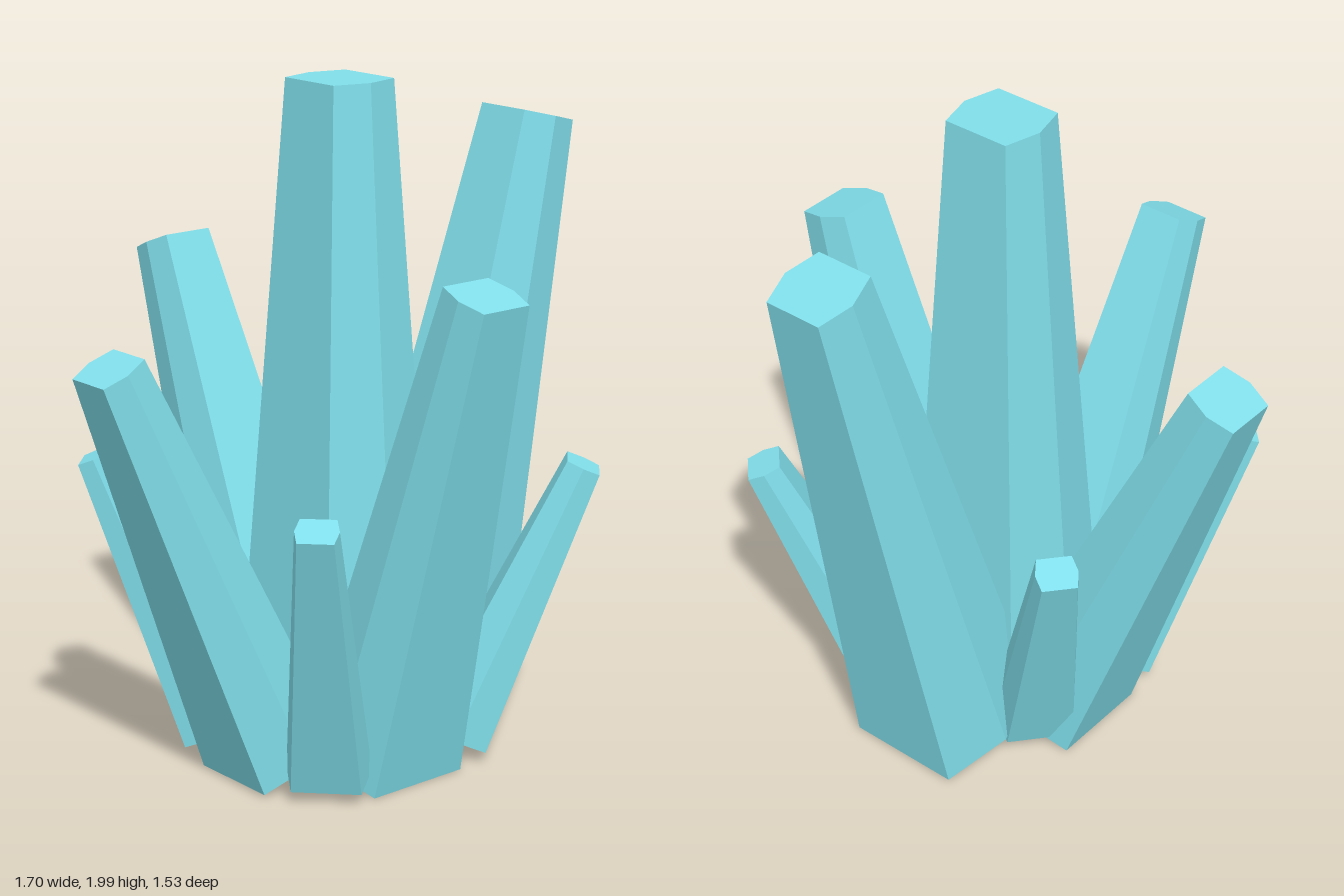
import * as THREE from 'three';

const material = new THREE.MeshStandardMaterial({ color: 0x80deea, flatShading: true });
const UP = new THREE.Vector3(0, 1, 0);
const TAPER = 2; // base is twice as wide as the tip

// Squarish six-sided section: flat sides face outwards, shallow ridges sit on the tangent sides.
// size = [half depth to the flats, half width of the flats, half width at the ridges] at the tip
function crystalGeometry(length, [flat, corner, ridge]) {
  const geometry = new THREE.CylinderGeometry(1, TAPER, length, 6).toNonIndexed();
  const p = geometry.attributes.position;
  for (let i = 0; i < p.count; i++) {
    const radius = p.getY(i) > 0 ? 1 : TAPER;
    const z = p.getZ(i);
    const onRidge = Math.abs(z) > 0.75 * radius;
    p.setX(i, (p.getX(i) / 0.866) * flat);
    p.setZ(i, onRidge ? z * ridge : (z / 0.5) * corner);
  }
  geometry.computeVertexNormals();
  return geometry;
}

// Crystal whose axis runs from the base centre to the tip centre
function crystal(name, base, tip, size) {
  const from = new THREE.Vector3(...base);
  const to = new THREE.Vector3(...tip);
  const axis = to.clone().sub(from);
  const length = axis.length();
  axis.normalize();

  // Upright crystals face +x, leaning ones face the way they lean
  const outward = new THREE.Vector3(axis.x, 0, axis.z);
  if (outward.length() < 0.01) outward.set(1, 0, 0);
  const tangent = outward.normalize().cross(UP);
  const facing = axis.clone().cross(tangent);

  const mesh = new THREE.Mesh(crystalGeometry(length, size), material);
  mesh.name = name;
  mesh.quaternion.setFromRotationMatrix(new THREE.Matrix4().makeBasis(facing, axis, tangent));
  mesh.position.copy(from).add(to).multiplyScalar(0.5);
  return mesh;
}

export function createModel() {
  const group = new THREE.Group();
  group.name = 'crystalCluster';
  const small = [0.05, 0.05, 0.061];

  const crystals = [
    // Tall upright centre
    ['centreCrystal', [0.02, 0.03, 0.085], [0.02, 2, 0.085], [0.11, 0.103, 0.131]],
    // Four large leaning crystals
    ['leftCrystal', [0.303, 0.065, 0.085], [0.75, 1.83, 0.085], [0.103, 0.089, 0.117]],
    ['rightCrystal', [-0.238, 0.075, 0.085], [-0.783, 1.304, 0.085], [0.074, 0.07, 0.088]],
    ['frontCrystal', [0.025, 0.055, 0.273], [0.02, 1.489, 0.684], [0.084, 0.082, 0.1]],
    ['backCrystal', [0.02, 0.07, -0.133], [0.02, 1.424, -0.69], [0.081, 0.08, 0.099]],
    // Four small crystals on the diagonals
    ['smallFrontLeftCrystal', [0.28, 0.08, 0.315], [0.53, 0.9, 0.565], small],
    ['smallFrontRightCrystal', [-0.205, 0.08, 0.31], [-0.455, 0.9, 0.552], small],
    ['smallBackLeftCrystal', [0.155, 0.08, -0.14], [0.38, 0.9, -0.4], small],
    ['smallBackRightCrystal', [-0.235, 0.08, -0.15], [-0.48, 0.9, -0.405], small],
  ];
  for (const spec of crystals) group.add(crystal(...spec));
  return group;
}
